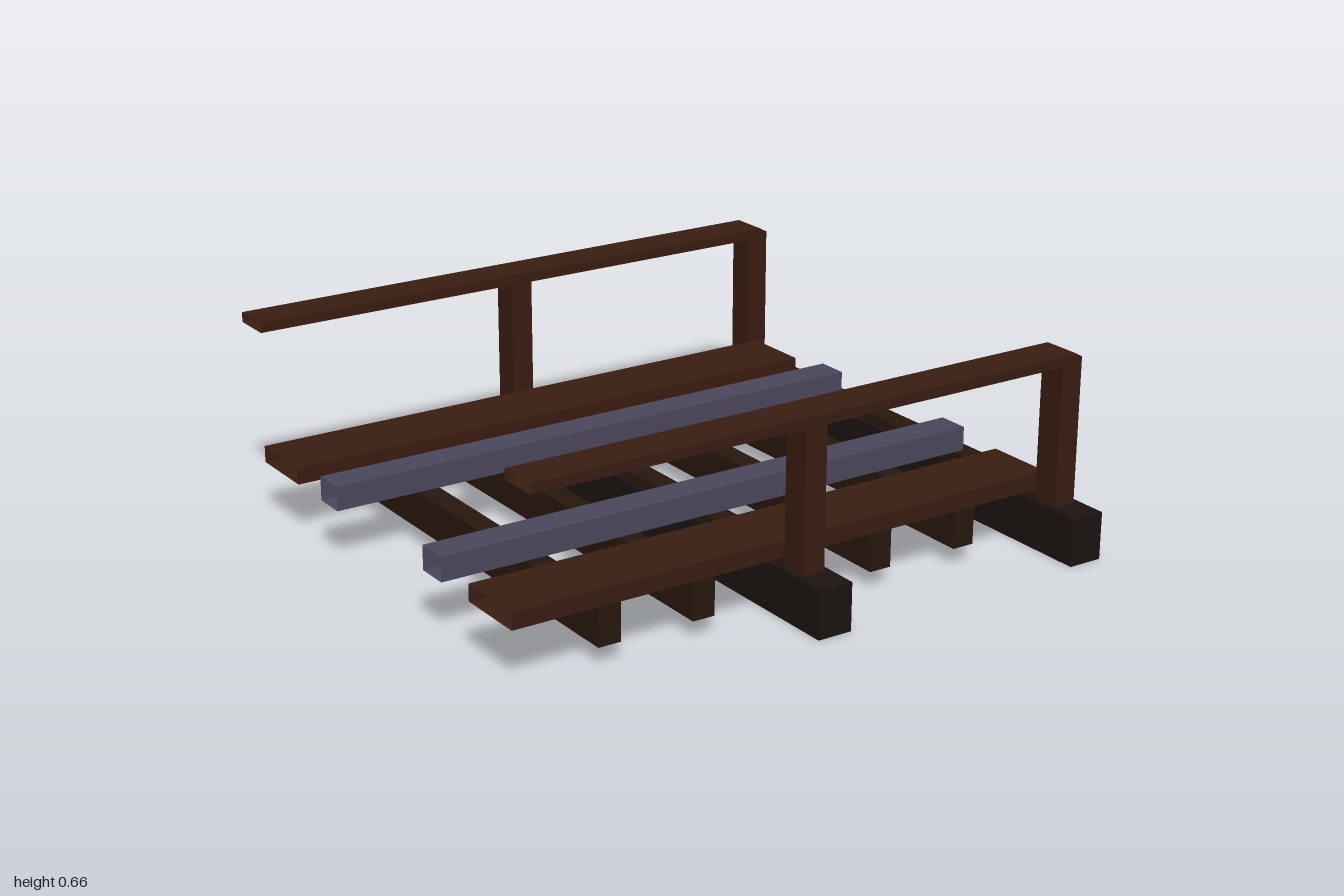
import * as THREE from 'three';

const material = (color, side = THREE.FrontSide) => new THREE.MeshStandardMaterial({ color, side });

// Box given by its [min, max] span on each axis; openAxis (0 = x, 1 = y) leaves both ends on that axis open
function bar(name, x, y, z, mat, openAxis = -1) {
  const geometry = new THREE.BoxGeometry(x[1] - x[0], y[1] - y[0], z[1] - z[0]);
  if (openAxis >= 0) {
    const index = Array.from(geometry.index.array);
    index.splice(openAxis * 12, 12);
    geometry.setIndex(index);
    geometry.clearGroups();
  }
  const mesh = new THREE.Mesh(geometry, mat);
  mesh.name = name;
  mesh.position.set((x[0] + x[1]) / 2, (y[0] + y[1]) / 2, (z[0] + z[1]) / 2);
  return mesh;
}

const around = (centre, half) => [centre - half, centre + half];

export function createModel() {
  const model = new THREE.Group();
  model.name = 'railBridgeSection';

  const beamWood = material(0x1a1310);
  const sleeperWood = material(0x26170d);
  const plankWood = material(0x381c11, THREE.DoubleSide);
  const steel = material(0x4a465a, THREE.DoubleSide);

  const pitch = 0.324;
  const lastX = 0.94;
  const length = [-1, lastX];

  // Cross sleepers, evenly spaced
  for (let i = 0; i < 6; i++) {
    const x = lastX - i * pitch;
    model.add(bar('sleeper', around(x, 0.038), [0.06, 0.185], [-0.777, 0.777], sleeperWood));
  }

  // Heavy cross beams under every third sleeper, with a handrail post at each end
  for (const x of [lastX, lastX - 3 * pitch]) {
    model.add(bar('crossBeam', around(x, 0.059), [0, 0.157], [-0.98, 0.98], beamWood));
    for (const side of [-1, 1]) {
      model.add(bar('handrailPost', around(x, 0.038), [0.157, 0.64], around(side * 0.825, 0.047), plankWood, 1));
    }
  }

  // Rails, walkways and handrails, mirrored front and back, with open ends
  for (const side of [-1, 1]) {
    model.add(bar('rail', length, [0.185, 0.265], around(side * 0.326, 0.054), steel, 0));
    model.add(bar('walkwayPlank', length, [0.185, 0.24], around(side * 0.658, 0.119), plankWood, 0));
    model.add(bar('handrail', length, [0.627, 0.66], around(side * 0.825, 0.068), plankWood, 0));
  }

  return model;
}
